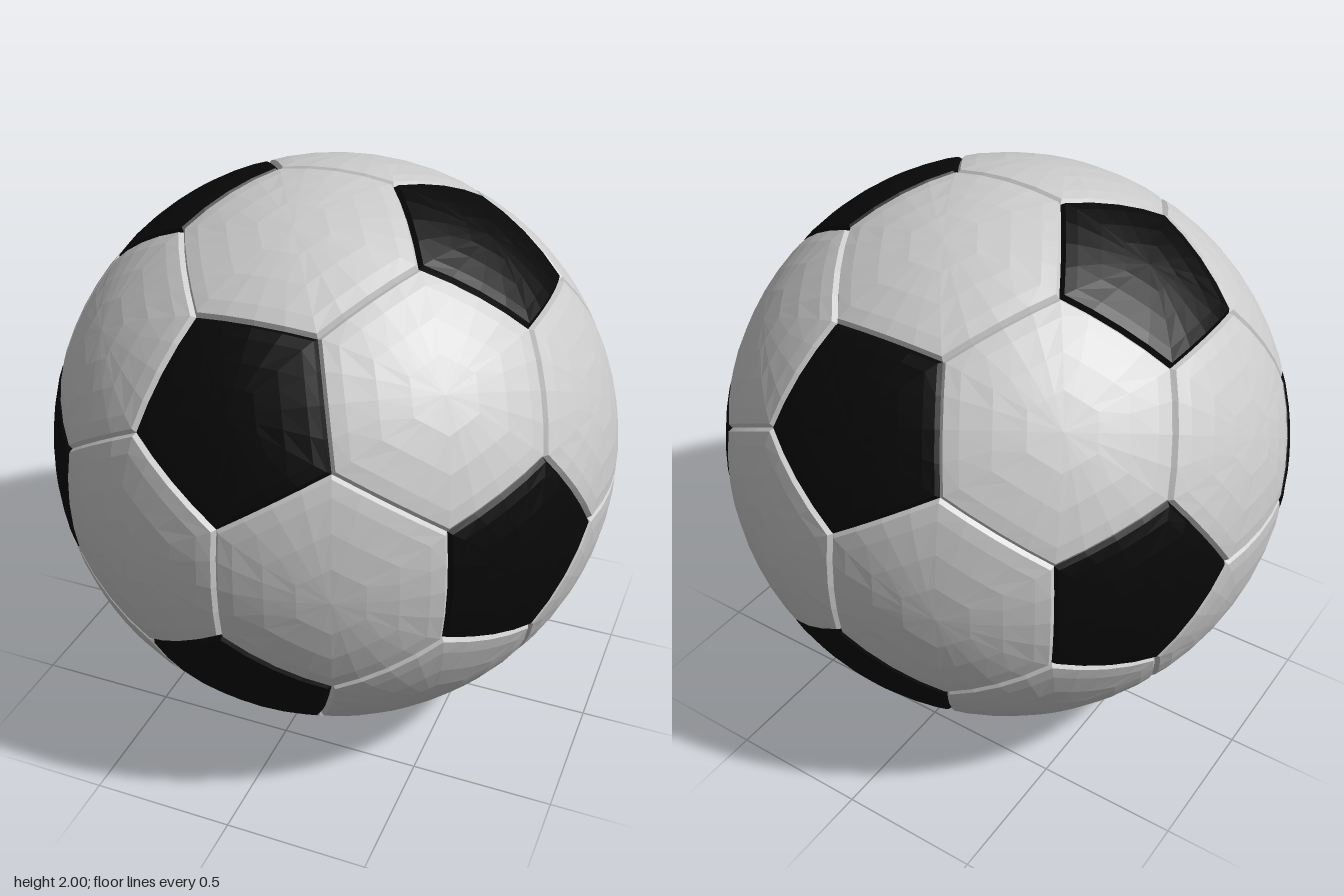
import * as THREE from 'three';

const RADIUS = 1.002;
const SEAM_DEPTH = 0.016;
const SEAM_HALF_WIDTH = 0.013;
const SEGMENTS = 4; // divisions along each panel side

// Domed panel: rings of points shrinking from the sunken seam to the centre
function panelGeometry(corners) {
  const centre = new THREE.Vector3();
  corners.forEach((c) => centre.add(c));
  centre.divideScalar(corners.length);
  const normal = centre.clone().normalize();

  // Sort the corners anticlockwise as seen from outside
  const u = corners[0].clone().sub(centre).normalize();
  const v = normal.clone().cross(u);
  const angle = (p) => Math.atan2(p.clone().sub(centre).dot(v), p.clone().sub(centre).dot(u));
  const sorted = [...corners].sort((a, b) => angle(a) - angle(b));

  const outline = [];
  sorted.forEach((c, i) => {
    const next = sorted[(i + 1) % sorted.length];
    for (let s = 0; s < SEGMENTS; s++) outline.push(c.clone().lerp(next, s / SEGMENTS));
  });
  const apothem = sorted[0].clone().add(sorted[1]).multiplyScalar(0.5).distanceTo(centre);
  const rings = [
    [1, RADIUS - SEAM_DEPTH],
    [1 - SEAM_HALF_WIDTH / apothem, RADIUS - 0.002],
    [0.82, RADIUS],
    [0.55, RADIUS],
    [0.28, RADIUS],
  ];

  const positions = [];
  const index = [];
  const n = outline.length;
  for (const [t, r] of rings) {
    for (const p of outline) {
      positions.push(...centre.clone().lerp(p, t).normalize().multiplyScalar(r).toArray());
    }
  }
  positions.push(...normal.clone().multiplyScalar(RADIUS).toArray());
  const last = rings.length - 1;
  for (let i = 0; i < n; i++) {
    const j = (i + 1) % n;
    for (let k = 0; k < last; k++) {
      const a = k * n + i, b = k * n + j, c = (k + 1) * n + j, d = (k + 1) * n + i;
      index.push(a, b, c, a, c, d);
    }
    index.push(last * n + i, last * n + j, rings.length * n);
  }
  const geometry = new THREE.BufferGeometry();
  geometry.setAttribute('position', new THREE.Float32BufferAttribute(positions, 3));
  geometry.setIndex(index);
  geometry.computeVertexNormals();
  return geometry;
}

export function createModel() {
  const ball = new THREE.Group();
  ball.name = 'football';
  const white = new THREE.MeshStandardMaterial({ color: 0xcccccc, flatShading: true });
  const black = new THREE.MeshStandardMaterial({ color: 0x080808, flatShading: true });

  // Icosahedron corners are the pentagon centres
  const phi = (1 + Math.sqrt(5)) / 2;
  const ico = [];
  for (const a of [-1, 1]) {
    for (const b of [-phi, phi]) {
      ico.push(new THREE.Vector3(0, a, b), new THREE.Vector3(a, b, 0), new THREE.Vector3(b, 0, a));
    }
  }
  // Corners of the truncated solid lie a third of the way along each edge, on the unit sphere
  const cut = (a, b) => a.clone().lerp(b, 1 / 3).normalize();
  const adjacent = (a, b) => Math.abs(a.distanceTo(b) - 2) < 0.01;

  const addPanel = (name, corners, material) => {
    const mesh = new THREE.Mesh(panelGeometry(corners), material);
    mesh.name = name;
    mesh.position.y = 1;
    ball.add(mesh);
  };

  // Twelve black pentagons
  ico.forEach((a, i) => {
    const corners = ico.filter((b) => adjacent(a, b)).map((b) => cut(a, b));
    addPanel(`pentagonPanel${i + 1}`, corners, black);
  });

  // Twenty pale hexagons, one per icosahedron face
  let count = 0;
  for (let i = 0; i < 12; i++) {
    for (let j = i + 1; j < 12; j++) {
      for (let k = j + 1; k < 12; k++) {
        const [a, b, c] = [ico[i], ico[j], ico[k]];
        if (!adjacent(a, b) || !adjacent(b, c) || !adjacent(a, c)) continue;
        const corners = [cut(a, b), cut(b, a), cut(b, c), cut(c, b), cut(c, a), cut(a, c)];
        addPanel(`hexagonPanel${++count}`, corners, white);
      }
    }
  }
  return ball;
}
